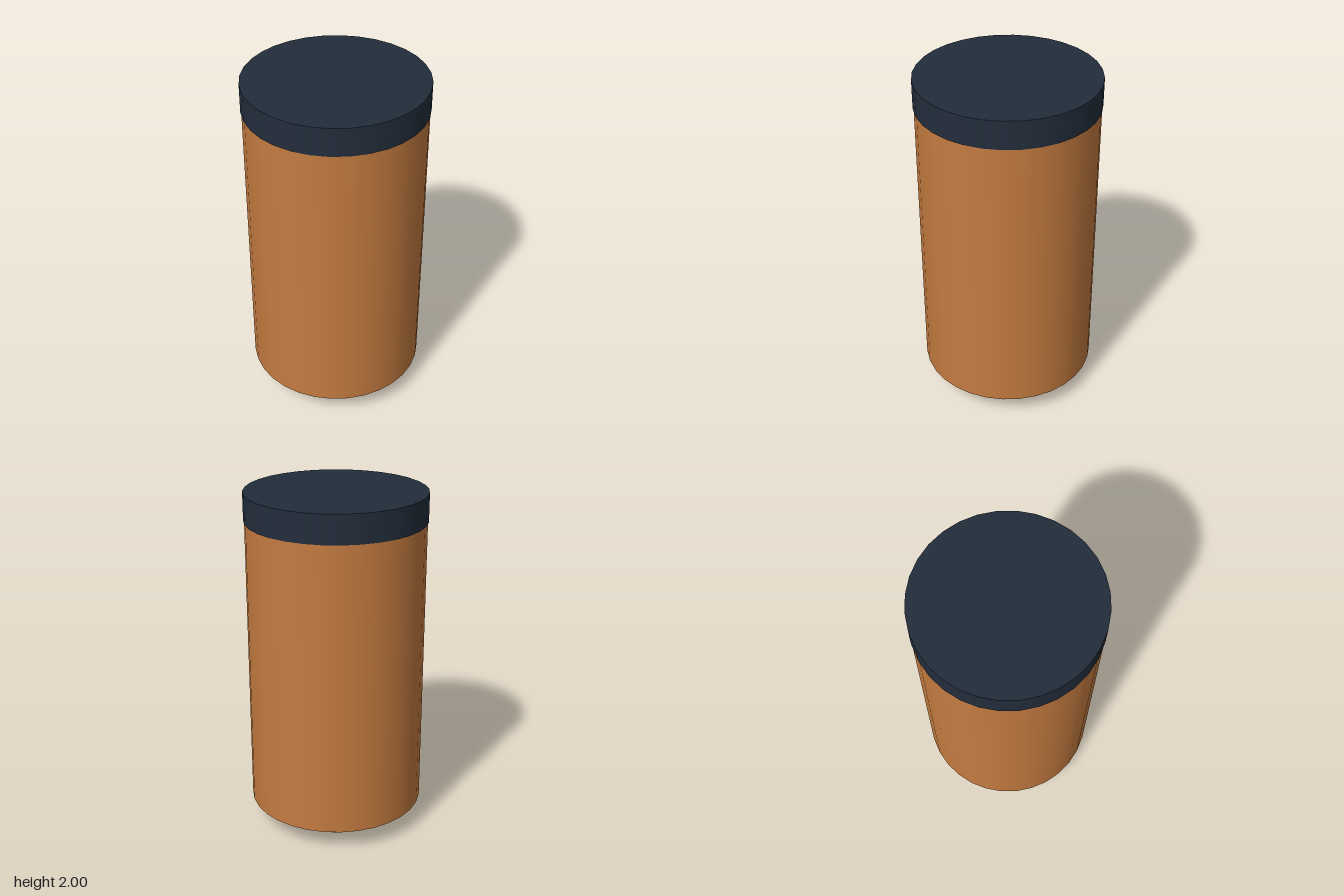
import * as THREE from 'three';

export function createModel() {
  const model = new THREE.Group();
  const paint = (name, color) => {
    const m = new THREE.MeshStandardMaterial({ color });
    m.name = name;
    return m;
  };
  const copper = paint('copper', 0xc47b40);
  const navy = paint('navy', 0x222d3b);
  const steel = paint('steel grey', 0x4c565b);

  // Closed round section standing between two heights
  const section = (name, material, rTop, rBottom, y0, y1, sides) => {
    const mesh = new THREE.Mesh(
      new THREE.CylinderGeometry(rTop, rBottom, y1 - y0, sides), material);
    mesh.name = name;
    mesh.position.y = (y0 + y1) / 2;
    model.add(mesh);
  };

  // Flared nozzle, tank body and the slightly wider cap
  section('nozzle', steel, 0.205, 0.305, 0, 0.13, 12);
  section('tankBody', copper, 0.51, 0.51, 0.13, 1.836, 32);
  section('topCap', navy, 0.515, 0.515, 1.836, 2, 32);

  return model;
}
